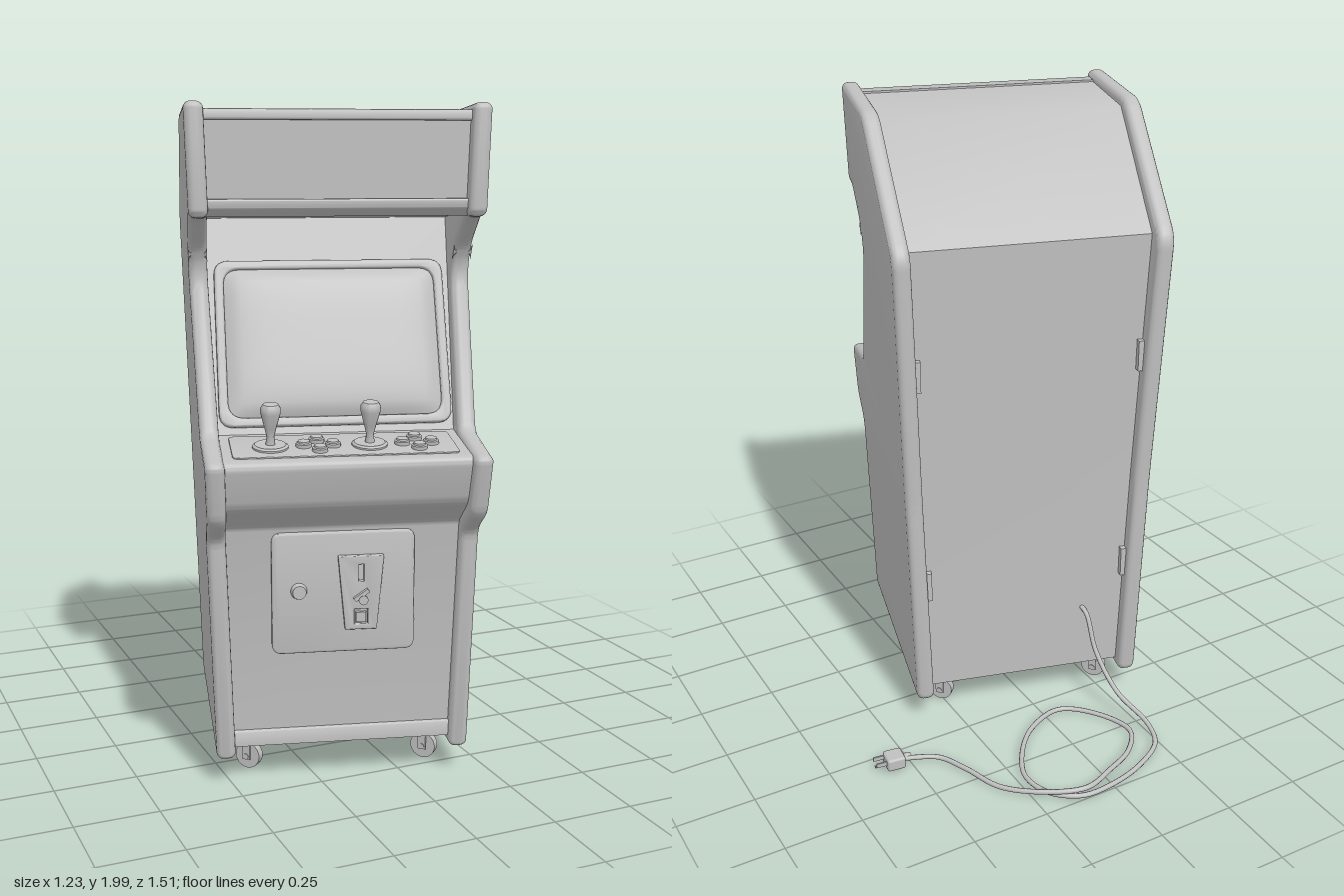
import * as THREE from 'three';
import { toCreasedNormals } from 'three/addons/utils/BufferGeometryUtils.js';
import { RoundedBoxGeometry } from 'three/addons/geometries/RoundedBoxGeometry.js';

const grey = new THREE.MeshStandardMaterial({ color: 0xc0c0c0 });
grey.name = 'plain grey';

const V2 = (x, y) => new THREE.Vector2(x, y);
const V3 = (x, y, z) => new THREE.Vector3(x, y, z);

// Half width of the cabinet, which flares outward with height
const half = y => 0.377 + 0.033 * (y - 0.09);

function add(parent, name, geometry, x = 0, y = 0, z = 0) {
  const mesh = new THREE.Mesh(geometry, grey);
  mesh.name = name;
  mesh.position.set(x, y, z);
  parent.add(mesh);
  return mesh;
}

function group(parent, name, x = 0, y = 0, z = 0) {
  const g = new THREE.Group();
  g.name = name;
  g.position.set(x, y, z);
  parent.add(g);
  return g;
}

// Closed outline from [x, y, cornerRadius] points
function outline(points, target = new THREE.Shape()) {
  const n = points.length;
  points.forEach(([x, y, r = 0], i) => {
    const p = V2(x, y);
    const toward = q => p.clone().add(V2(q[0], q[1]).sub(p).setLength(r));
    const a = toward(points[(i + n - 1) % n]);
    const b = toward(points[(i + 1) % n]);
    if (i === 0) target.moveTo(a.x, a.y); else target.lineTo(a.x, a.y);
    if (r > 0) target.quadraticCurveTo(x, y, b.x, b.y);
  });
  target.closePath();
  return target;
}

const rect = (w, h, r) => [[-w / 2, -h / 2, r], [w / 2, -h / 2, r], [w / 2, h / 2, r], [-w / 2, h / 2, r]];

// Plate facing +z, with bevelled edges kept inside its outline
function plate(shape, depth, bevel = 0.004) {
  const g = new THREE.ExtrudeGeometry(shape, {
    depth: depth - bevel, bevelThickness: bevel, bevelSize: bevel, bevelOffset: -bevel,
    bevelSegments: 3, curveSegments: 8,
  });
  return toCreasedNormals(g, 0.7);
}

// Side profile (z, y) extruded across x, then moved by a rule x = f(x, y)
function across(points, depth, bevel, rule) {
  const g = new THREE.ExtrudeGeometry(outline(points), {
    depth: depth - 2 * bevel, bevelEnabled: bevel > 0, bevelThickness: bevel, bevelSize: bevel,
    bevelOffset: -bevel, bevelSegments: 4, curveSegments: 8,
  });
  g.translate(0, 0, bevel - depth / 2);
  g.rotateY(-Math.PI / 2);
  const p = g.attributes.position;
  for (let i = 0; i < p.count; i++) p.setX(i, rule(p.getX(i), p.getY(i)));
  return toCreasedNormals(g, 0.7);
}

const filling = points => across(points, 1, 0, (x, y) => x * 2 * (half(y) - 0.05));

function addShell(cab) {
  // Side panels
  const side = [
    [0.542, 0.09, 0.02], [0.556, 0.765, 0.03], [0.652, 0.835, 0.03], [0.692, 1.012, 0.025],
    [0.462, 1.05, 0.03], [0.262, 1.51, 0.06], [0.30, 1.585, 0.03], [0.40, 1.67, 0.025],
    [0.47, 1.675, 0.025], [0.472, 1.997, 0.025], [0.095, 1.977, 0.04], [-0.293, 1.645, 0.045],
    [-0.252, 0.82, 0.06], [-0.246, 0.09, 0.03]];
  for (const s of [-1, 1]) {
    add(cab, s > 0 ? 'leftSidePanel' : 'rightSidePanel',
      across(side, 0.056, 0.02, (x, y) => x + s * (half(y) - 0.028)));
  }
  // Body between the side panels
  add(cab, 'body', filling([
    [0.505, 0.12], [0.525, 0.79, 0.02], [0.628, 0.87, 0.03], [0.665, 1.007, 0.03], [0.40, 1.04],
    [0.15, 1.66], [0.43, 1.695], [0.432, 1.97], [0.115, 1.948], [-0.235, 1.64],
    [-0.208, 0.82], [-0.2, 0.12]]));
  // Trim strips
  add(cab, 'marqueeTopTrim', filling([[0.40, 1.945], [0.448, 1.945, 0.006], [0.448, 1.976, 0.006], [0.40, 1.974]]));
  add(cab, 'marqueeBottomTrim', filling([[0.38, 1.675], [0.42, 1.675], [0.448, 1.70, 0.006], [0.448, 1.725, 0.006], [0.40, 1.725]]));
  add(cab, 'kickTrim', filling([[0.48, 0.12], [0.517, 0.12], [0.518, 0.168, 0.006], [0.48, 0.168]]));
  // Back door hinges
  for (const s of [-1, 1]) for (const y of [1.25, 0.51]) {
    add(cab, 'hinge', new THREE.BoxGeometry(0.02, 0.1, 0.03), s * (half(y) - 0.062), y, y > 1 ? -0.228 : -0.21);
  }
}

function addScreen(cab) {
  const g = group(cab, 'screen', 0, 1.295, 0.297);
  g.rotation.x = -0.383;
  const frame = outline(rect(0.695, 0.508, 0.045));
  frame.holes.push(outline(rect(0.64, 0.455, 0.05), new THREE.Path()));
  add(g, 'screenFrame', plate(frame, 0.018, 0.006));
  // Bulged glass
  const glass = new THREE.PlaneGeometry(0.65, 0.465, 24, 20);
  const p = glass.attributes.position;
  for (let i = 0; i < p.count; i++) {
    const a = (p.getX(i) / 0.325) ** 4, b = (p.getY(i) / 0.2325) ** 4;
    p.setZ(i, 0.004 + 0.032 * Math.sqrt(Math.max(0, (1 - a) * (1 - b))));
  }
  glass.computeVertexNormals();
  add(g, 'glass', glass);
}

function addControls(cab) {
  const g = group(cab, 'controls', 0, 1.022, 0.535);
  g.rotation.x = 0.131;
  const deck = plate(outline(rect(0.65, 0.19, 0.02)), 0.006, 0.002);
  deck.rotateX(-Math.PI / 2);
  add(g, 'controlDeck', deck, 0, 0, -0.012);
  const stick = [[0.052, 0], [0.052, 0.007], [0.045, 0.012], [0.03, 0.009], [0.014, 0.012], [0.011, 0.035],
    [0.017, 0.06], [0.029, 0.105], [0.029, 0.12], [0.022, 0.131], [0, 0.135]].map(([x, y]) => V2(x, y));
  const button = [[0.023, 0], [0.023, 0.012], [0.018, 0.014], [0.017, 0.019], [0, 0.021]].map(([x, y]) => V2(x, y));
  for (const x of [-0.212, 0.075]) {
    add(g, 'joystick', toCreasedNormals(new THREE.LatheGeometry(stick, 24), 0.8), x, 0.004, 0);
    for (const [dx, dz] of [[0, -0.042], [-0.042, -0.002], [0.042, 0], [0, 0.041]]) {
      add(g, 'button', toCreasedNormals(new THREE.LatheGeometry(button, 16), 0.6), x + 0.138 + dx, 0.004, dz);
    }
  }
}

function addCoinDoor(cab) {
  const g = group(cab, 'coinDoor', 0, 0.59, 0.518);
  g.rotation.x = 0.03 * -1 + 0.06;
  g.rotation.x = -0.0;
  add(g, 'doorPlate', plate(outline(rect(0.422, 0.365, 0.03)), 0.018, 0.006));
  add(g, 'lockKnob', toCreasedNormals(new THREE.CylinderGeometry(0.02, 0.025, 0.02, 20).rotateX(Math.PI / 2), 0.6), -0.132, 0.008, 0.026);
  // Coin mechanism with slot, lever and return cup
  const face = outline([[-0.047, -0.112, 0.004], [0.047, -0.112, 0.004], [0.068, 0.112, 0.004], [-0.068, 0.112, 0.004]]);
  face.holes.push(outline([[-0.006, 0.035], [0.008, 0.035], [0.008, 0.085], [-0.006, 0.085]], new THREE.Path()));
  face.holes.push(outline([[-0.02, -0.095], [0.02, -0.095], [0.02, -0.05], [-0.02, -0.05]], new THREE.Path()));
  add(g, 'coinPlate', plate(face, 0.014, 0.003), 0.05, 0, 0.017);
  const lever = add(g, 'coinLever', new THREE.BoxGeometry(0.05, 0.012, 0.016), 0.05, -0.005, 0.036);
  lever.rotation.z = 0.6;
  add(g, 'leverPivot', new THREE.CylinderGeometry(0.014, 0.014, 0.02, 14).rotateX(Math.PI / 2), 0.055, -0.02, 0.036);
  add(g, 'returnFlap', new THREE.BoxGeometry(0.03, 0.03, 0.012), 0.05, -0.075, 0.024);
}

function addCasters(cab) {
  for (const x of [-0.272, 0.272]) for (const z of [-0.118, 0.406]) {
    const g = group(cab, 'caster', x, 0, z);
    g.rotation.y = 1.0;
    add(g, 'mountPlate', new THREE.BoxGeometry(0.1, 0.01, 0.08), 0, 0.116, 0);
    add(g, 'swivel', new THREE.CylinderGeometry(0.022, 0.026, 0.02, 16), 0, 0.102, 0);
    add(g, 'wheel', toCreasedNormals(new THREE.CylinderGeometry(0.04, 0.04, 0.024, 24).rotateZ(Math.PI / 2), 0.6), 0, 0.048, 0);
    add(g, 'axle', new THREE.CylinderGeometry(0.009, 0.009, 0.05, 12).rotateZ(Math.PI / 2), 0, 0.048, 0);
    add(g, 'forkTop', new THREE.BoxGeometry(0.044, 0.006, 0.036), 0, 0.093, 0);
    for (const s of [-1, 1]) add(g, 'forkArm', new THREE.BoxGeometry(0.005, 0.055, 0.026), s * 0.0195, 0.066, 0);
  }
}

function addCable(root) {
  const path = [
    [-0.178, 0.35, -0.235], [-0.184, 0.33, -0.28], [-0.19, 0.21, -0.337], [-0.212, 0.10, -0.44],
    [-0.25, 0.042, -0.56], [-0.228, 0.025, -0.64], [-0.12, 0.02, -0.708], [0.02, 0.02, -0.745],
    [0.12, 0.02, -0.742], [0.20, 0.02, -0.68], [0.225, 0.02, -0.585], [0.18, 0.02, -0.48],
    [0.08, 0.02, -0.375], [-0.05, 0.02, -0.332], [-0.145, 0.02, -0.41], [-0.195, 0.02, -0.54],
    [-0.13, 0.022, -0.63], [-0.02, 0.03, -0.69], [0.10, 0.037, -0.735], [0.22, 0.03, -0.68],
    [0.32, 0.02, -0.58], [0.37, 0.02, -0.45], [0.42, 0.022, -0.36], [0.52, 0.035, -0.328]];
  const curve = new THREE.CatmullRomCurve3(path.map(p => V3(...p)));
  add(root, 'powerCable', new THREE.TubeGeometry(curve, 220, 0.008, 8));
  // Plug with three prongs
  const g = group(root, 'plug', 0.555, 0.035, -0.317);
  g.rotation.y = -0.12;
  add(g, 'plugBody', new RoundedBoxGeometry(0.06, 0.042, 0.062, 2, 0.008));
  add(g, 'plugNeck', new THREE.CylinderGeometry(0.014, 0.01, 0.03, 12).rotateZ(-Math.PI / 2), -0.04, 0, 0);
  for (const s of [-1, 1]) add(g, 'prong', new THREE.BoxGeometry(0.036, 0.014, 0.005), 0.046, 0.006, s * 0.017);
  add(g, 'groundProng', new THREE.CylinderGeometry(0.005, 0.005, 0.036, 10).rotateZ(Math.PI / 2), 0.046, -0.01, 0);
}

export function createModel() {
  const root = new THREE.Group();
  root.name = 'arcadeCabinet';
  const cab = group(root, 'cabinet', -0.044, 0, -0.012);
  cab.rotation.y = -Math.PI / 12;
  addShell(cab);
  addScreen(cab);
  addControls(cab);
  addCoinDoor(cab);
  addCasters(cab);
  addCable(root);
  return root;
}
